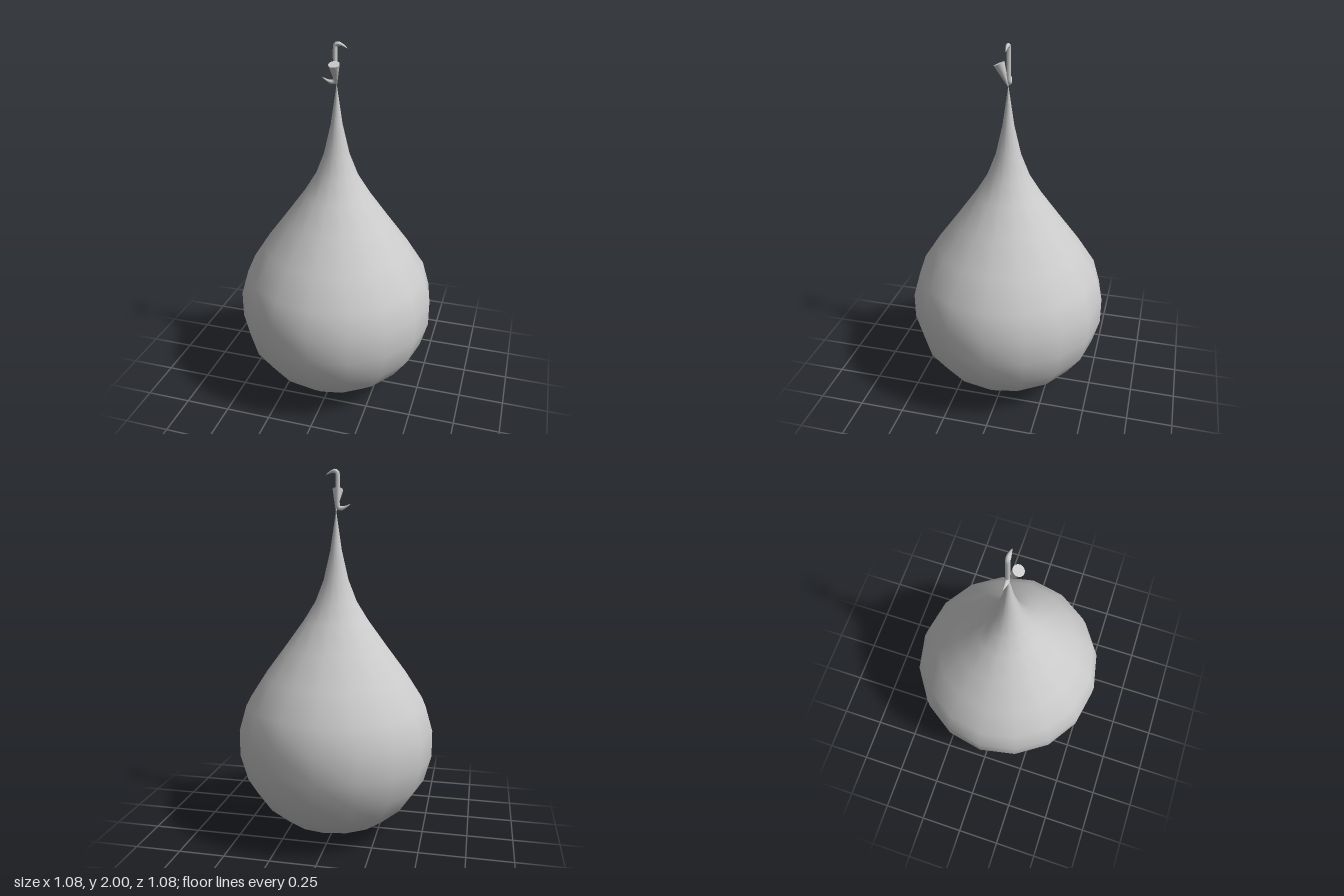
import * as THREE from 'three';

const material = new THREE.MeshStandardMaterial({ color: 0xcccccc, side: THREE.DoubleSide });

function addMesh(group, name, geometry) {
  const mesh = new THREE.Mesh(geometry, material);
  mesh.name = name;
  group.add(mesh);
  return mesh;
}

// Tube along a curve whose ends narrow to points
function taperedTube(curve, segments, radius, sides, taperLength) {
  const geometry = new THREE.TubeGeometry(curve, segments, radius, sides);
  const pos = geometry.attributes.position;
  const length = curve.getLength();
  const v = new THREE.Vector3();
  for (let i = 0; i <= segments; i++) {
    const u = i / segments;
    const centre = curve.getPointAt(u);
    const scale = Math.min(1, (Math.min(u, 1 - u) * length) / taperLength);
    for (let j = 0; j <= sides; j++) {
      const k = i * (sides + 1) + j;
      v.fromBufferAttribute(pos, k).sub(centre).multiplyScalar(scale).add(centre);
      pos.setXYZ(k, v.x, v.y, v.z);
    }
  }
  geometry.computeVertexNormals();
  return geometry;
}

export function createModel() {
  const group = new THREE.Group();
  group.name = 'dropOrnament';

  // Teardrop body, bottom to tip
  const profile = [
    [0, 0], [0.155, 0.025], [0.3, 0.085], [0.415, 0.185], [0.5, 0.31],
    [0.54, 0.455], [0.54, 0.6], [0.5, 0.74], [0.4, 0.895], [0.285, 1.05],
    [0.18, 1.195], [0.115, 1.3], [0.068, 1.42], [0.031, 1.58], [0, 1.79],
  ].map(([r, y]) => new THREE.Vector2(r, y));
  addMesh(group, 'body', new THREE.LatheGeometry(profile, 16));

  // S-shaped hook with pointed ends
  const path = [
    [-0.08, 1.82], [-0.05, 1.803], [-0.022, 1.796], [-0.01, 1.802], [-0.008, 1.82],
    [-0.008, 1.89], [-0.008, 1.96], [-0.006, 1.98], [0.006, 1.987], [0.03, 1.982], [0.06, 1.964],
  ].map(([x, y]) => new THREE.Vector3(x, y, 0));
  addMesh(group, 'hook', taperedTube(new THREE.CatmullRomCurve3(path), 40, 0.012, 8, 0.06));

  // Small cone leaning forward from the tip
  const apex = new THREE.Vector3(0, 1.78, 0);
  const end = new THREE.Vector3(0, 1.895, 0.047);
  const axis = end.clone().sub(apex);
  const cone = addMesh(group, 'stemCone', new THREE.CylinderGeometry(0.029, 0.002, axis.length(), 16));
  cone.position.copy(apex).add(end).multiplyScalar(0.5);
  cone.quaternion.setFromUnitVectors(new THREE.Vector3(0, 1, 0), axis.normalize());

  return group;
}
